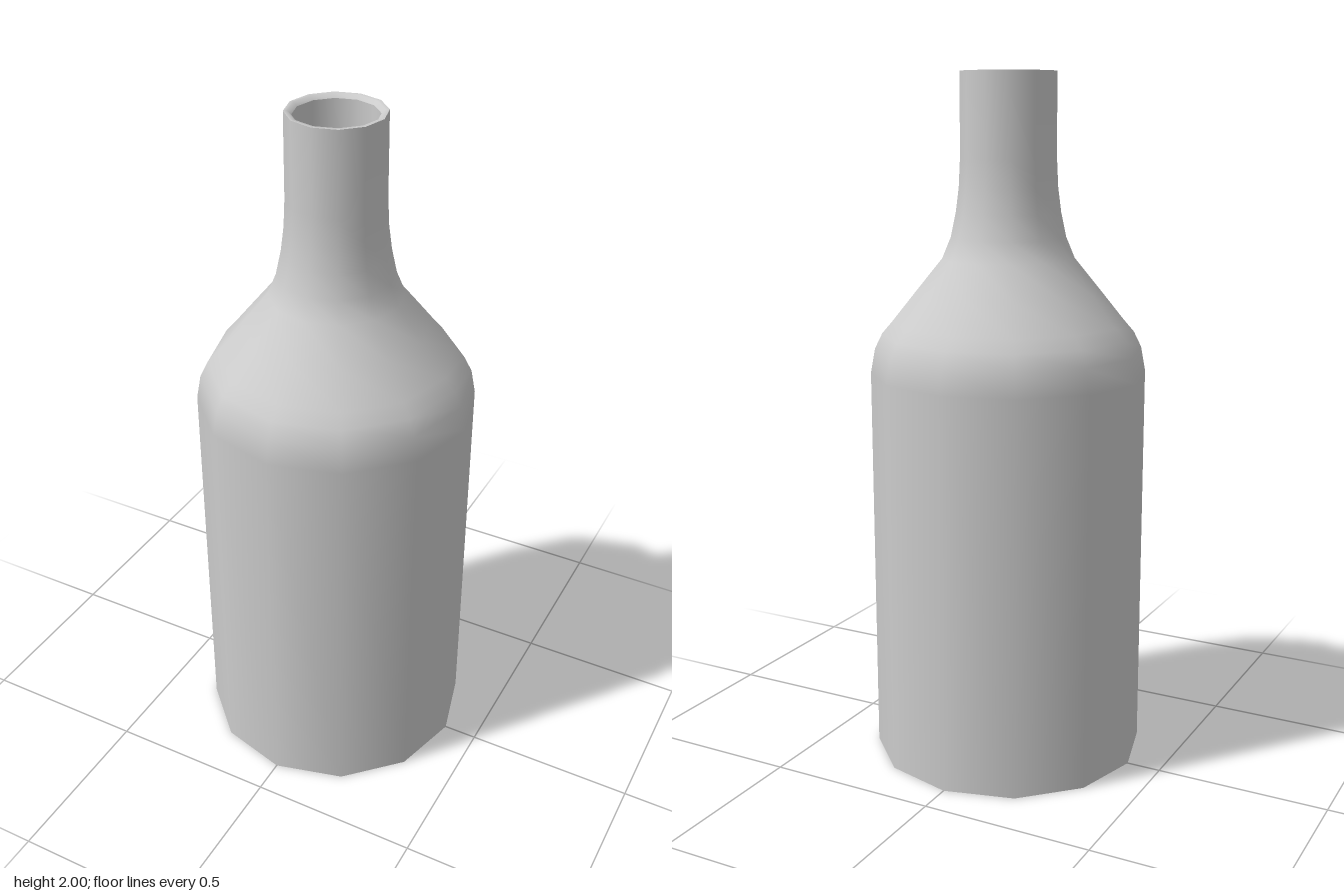
import * as THREE from 'three';

const SIDES = 12;
const material = new THREE.MeshStandardMaterial({ color: 0xcccccc });

// Turns a [radius, height] profile into a twelve-sided surface
function turned(name, profile) {
  const points = profile.map(([r, y]) => new THREE.Vector2(r, y));
  const mesh = new THREE.Mesh(new THREE.LatheGeometry(points, SIDES), material);
  mesh.name = name;
  return mesh;
}

export function createModel() {
  const bottle = new THREE.Group();
  bottle.name = 'bottle';

  // Shoulder and neck curve, from the body up to the mouth
  const shoulder = [
    [0.4, 1.15], [0.387, 1.22], [0.365, 1.265], [0.335, 1.3], [0.263, 1.39],
    [0.19, 1.48], [0.165, 1.54], [0.15, 1.61], [0.141, 1.68], [0.137, 1.76],
  ];
  const wall = 0.022;

  // Separate surfaces keep the base and mouth edges sharp
  bottle.add(turned('outerWall', [[0.4, 0], ...shoulder, [0.136, 2]]));
  bottle.add(turned('base', [[0, 0], [0.4, 0]]));
  bottle.add(turned('rim', [[0.136, 2], [0.125, 2], [0.115, 1.99]]));

  // Hollow inside, running from the mouth down to the floor
  const inside = shoulder.map(([r, y]) => [r - wall, y - 0.01]).reverse();
  bottle.add(turned('innerWall', [[0.115, 1.99], ...inside, [0.4 - wall, 0.03]]));
  bottle.add(turned('innerFloor', [[0.4 - wall, 0.03], [0, 0.03]]));

  return bottle;
}
